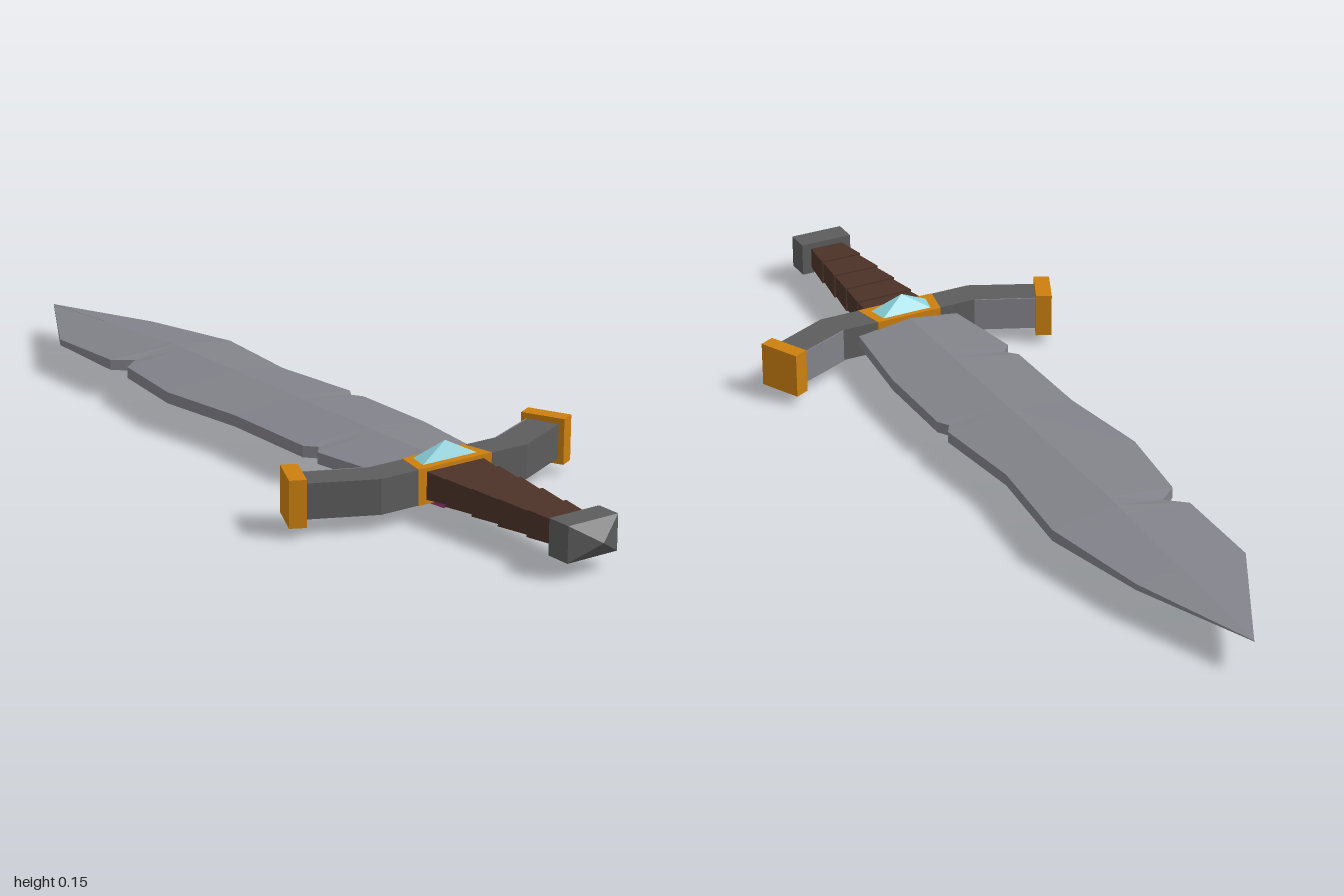
import * as THREE from 'three';
import { ConvexGeometry } from 'three/addons/geometries/ConvexGeometry.js';

const MID = 0.075; // height of the sword's centre plane

const material = (name, color) => {
  const m = new THREE.MeshStandardMaterial({ color });
  m.name = name;
  return m;
};

export function createModel() {
  const steel = material('blade steel', 0x82828a);
  const iron = material('dark iron', 0x5c5c5c);
  const gold = material('gold', 0xcc800f);
  const leather = material('brown leather', 0x4c3229);
  const cyan = material('cyan gem', 0x8ad0da);
  const magenta = material('magenta gem', 0x8e3570);

  const group = new THREE.Group();
  const add = (name, geometry, mat) => {
    const mesh = new THREE.Mesh(geometry, mat);
    mesh.name = name;
    group.add(mesh);
  };

  // Vertical prism from an outline of [x, z] points
  const prism = (outline, y0, y1) => {
    const shape = new THREE.Shape(outline.map(([x, z]) => new THREE.Vector2(x, -z)));
    const g = new THREE.ExtrudeGeometry(shape, { depth: y1 - y0, bevelEnabled: false });
    return g.rotateX(-Math.PI / 2).translate(0, y0, 0);
  };
  // Flat-faced solid around a set of [x, y, z] points
  const hull = (points) => new ConvexGeometry(points.map((p) => new THREE.Vector3(...p)));
  // Four corners of an upright rectangle at depth z
  const rect = (w, h, z) => [[-w, MID - h, z], [w, MID - h, z], [w, MID + h, z], [-w, MID + h, z]];

  add('blade', bladeGeometry(), steel);

  // Collar at the middle of the guard
  add('collar', prism([[-0.093, 0.545], [0.093, 0.545], [0.078, 0.47], [-0.078, 0.47]], 0.036, 0.113), gold);

  // Guard arms with a steel inner face and a gold cap
  for (const s of [1, -1]) {
    const side = s > 0 ? 'left' : 'right';
    const flip = (pts) => pts.map(([x, z]) => [s * x, z]);
    add(side + 'GuardArm', prism(flip([[0.093, 0.545], [0.185, 0.545], [0.322, 0.481],
      [0.292, 0.416], [0.165, 0.473], [0.078, 0.473]]), 0.037, 0.112), iron);
    add(side + 'GuardInnerFace', prism(flip([[0.165, 0.473], [0.292, 0.416],
      [0.291, 0.413], [0.164, 0.47]]), 0.037, 0.112), steel);
    add(side + 'GuardCap', prism(flip([[0.286, 0.402], [0.328, 0.492],
      [0.36, 0.476], [0.318, 0.386]]), 0.024, 0.124), gold);
  }

  // Faceted gems above and below the collar
  for (const [name, s, mat] of [['topGem', 1, cyan], ['bottomGem', -1, magenta]]) {
    const y = MID + s * 0.036;
    add(name, hull([[-0.072, y, 0.528], [0.072, y, 0.528], [0.062, y, 0.48], [-0.062, y, 0.48],
      [0, MID + s * 0.073, 0.51]]), mat);
  }

  // Tapered grip wraps, each stepping down slightly to the next
  const cuts = [0.54, 0.6, 0.675, 0.75, 0.83, 0.915];
  const width = (z) => THREE.MathUtils.mapLinear(z, 0.54, 0.915, 0.073, 0.042);
  for (let i = 0; i < 5; i++) {
    const [a, b] = [cuts[i], cuts[i + 1]];
    add('gripWrap' + (i + 1), hull([...rect(width(a), 0.03 - i * 0.0005, a),
      ...rect(width(b) - 0.003, 0.026 - i * 0.0005, b)]), leather);
  }

  // Pommel block with a pyramid end
  add('pommel', hull([...rect(0.062, 0.038, 0.912), ...rect(0.062, 0.038, 0.968), [0, MID, 1]]), iron);

  return group;
}

// Ridged blade lofted through six-point sections, with nicked edges
function bladeGeometry() {
  const left = [[-1, 0], [-0.725, -0.15], [-0.51, -0.15], [-0.475, -0.107], [-0.44, -0.15],
    [-0.235, -0.178], [-0.015, -0.15], [0.23, -0.15], [0.255, -0.127], [0.28, -0.15], [0.5, -0.117]];
  const right = [[-1, 0], [-0.725, 0.1], [-0.475, 0.15], [-0.235, 0.127], [-0.015, 0.15],
    [0.01, 0.135], [0.035, 0.15], [0.25, 0.15], [0.5, 0.122]];
  const thick = [[-1, 0.001], [-0.475, 0.03], [0.5, 0.03]];
  const at = (curve, z) => {
    const i = Math.max(1, curve.findIndex((p) => p[0] >= z));
    const [a, b] = [curve[i - 1], curve[i]];
    return THREE.MathUtils.mapLinear(z, a[0], b[0], a[1], b[1]);
  };
  const zs = [...new Set([...left, ...right].map((p) => p[0]))].sort((a, b) => a - b);
  const rings = zs.map((z) => {
    const t = at(thick, z), e = t * 0.42, l = at(left, z), r = at(right, z);
    return [[l, e], [0, t], [r, e], [r, -e], [0, -t], [l, -e]].map(([x, y]) => [x, MID + y, z]);
  });
  const pos = [];
  const tri = (...pts) => pts.forEach((p) => pos.push(...p));
  for (let i = 0; i < rings.length - 1; i++) {
    for (let j = 0; j < 6; j++) {
      const k = (j + 1) % 6;
      const [a, b, c, d] = [rings[i][j], rings[i][k], rings[i + 1][k], rings[i + 1][j]];
      tri(a, d, c);
      tri(a, c, b);
    }
  }
  // Close the end hidden in the guard
  const end = rings[rings.length - 1];
  for (let j = 1; j < 5; j++) tri(end[0], end[j + 1], end[j]);
  const g = new THREE.BufferGeometry();
  g.setAttribute('position', new THREE.Float32BufferAttribute(pos, 3));
  g.computeVertexNormals();
  return g;
}
